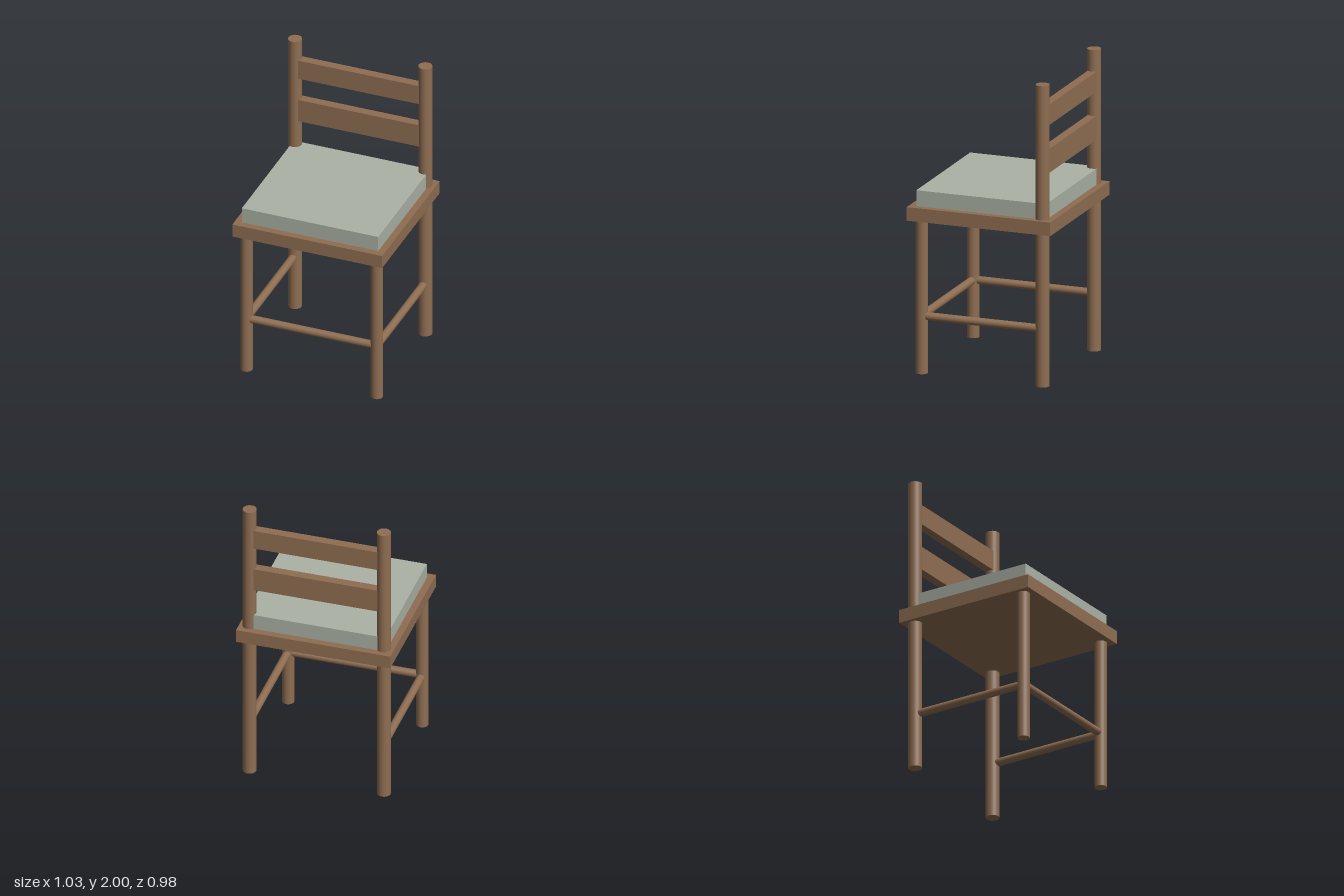
import * as THREE from 'three';

export function createModel() {
  const chair = new THREE.Group();
  chair.name = 'chair';
  const wood = new THREE.MeshStandardMaterial({ color: 0x8f6e52 });
  wood.name = 'wood';
  const fabric = new THREE.MeshStandardMaterial({ color: 0xabb2a5 });
  fabric.name = 'cushionFabric';

  const legX = 0.448, legZ = 0.414;
  const seatBottom = 1.018, seatTop = 1.108, railY = 0.379;

  function add(name, geometry, material, x, y, z) {
    const mesh = new THREE.Mesh(geometry, material);
    mesh.name = name;
    mesh.position.set(x, y, z);
    chair.add(mesh);
    return mesh;
  }
  const box = (name, w, y0, y1, d, z, material) =>
    add(name, new THREE.BoxGeometry(w, y1 - y0, d), material, 0, (y0 + y1) / 2, z);
  const rod = (name, radius, length, x, y, z) =>
    add(name, new THREE.CylinderGeometry(radius, radius, length, 32), wood, x, y, z);

  // Seat board and cushion
  box('seat', 1.03, seatBottom, seatTop, 0.984, 0, wood);
  box('cushion', 0.938, seatTop, 1.213, 0.888, 0, fabric);

  // Front legs, full-height back posts and side stretchers
  for (const [side, s] of [['left', 1], ['right', -1]]) {
    rod(side + 'FrontLeg', 0.04, seatBottom, s * legX, seatBottom / 2, legZ);
    rod(side + 'BackPost', 0.045, 2, s * legX, 1, -legZ);
    rod(side + 'Stretcher', 0.026, 2 * legZ, s * legX, railY, 0).rotation.x = Math.PI / 2;
  }

  // Front stretcher
  rod('frontStretcher', 0.026, 2 * legX, 0, railY, legZ).rotation.z = Math.PI / 2;

  // Backrest slats
  box('lowerSlat', 2 * legX, 1.405, 1.564, 0.06, -legZ, wood);
  box('upperSlat', 2 * legX, 1.723, 1.858, 0.06, -legZ, wood);

  return chair;
}
